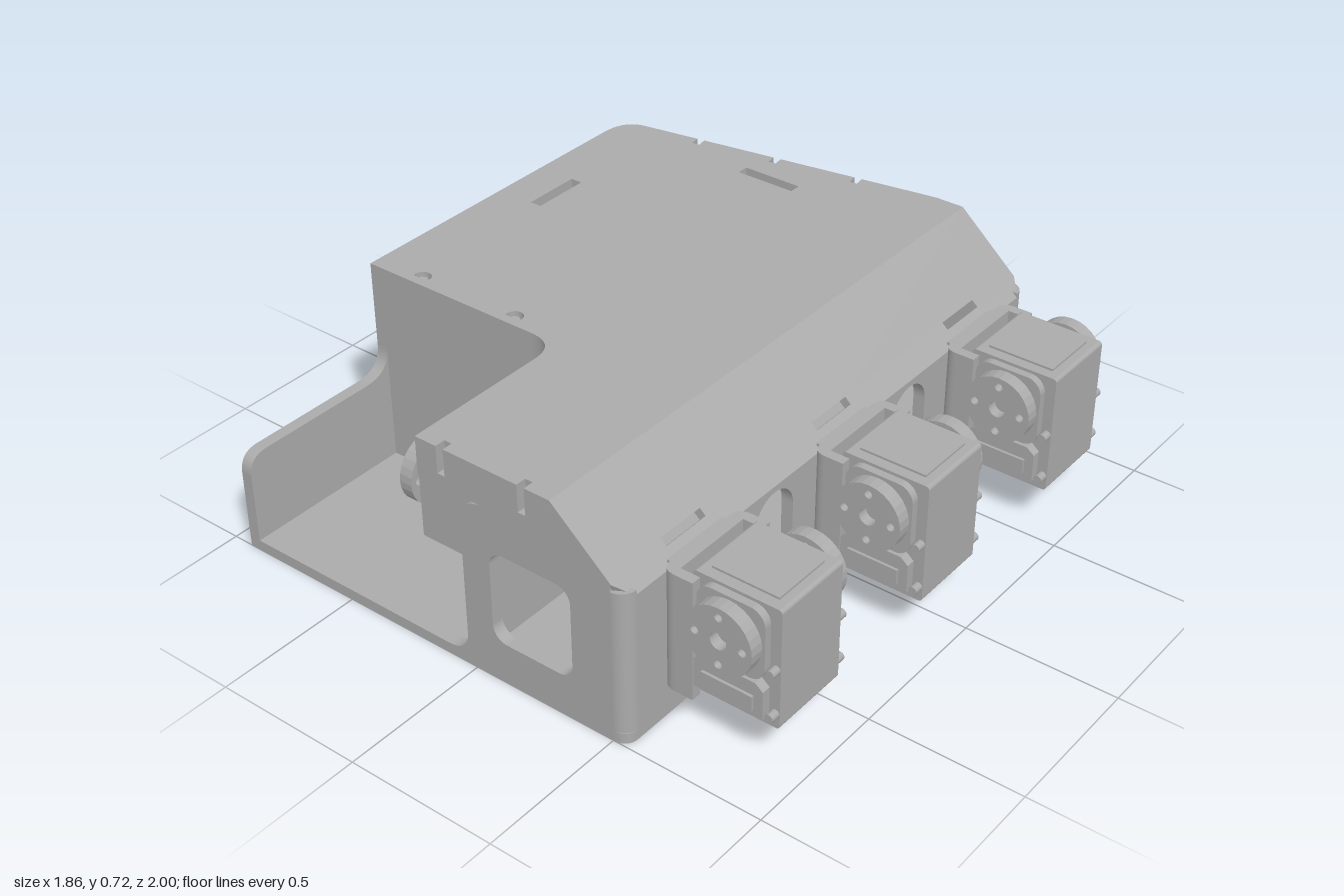
import * as THREE from 'three';

const grey = new THREE.MeshStandardMaterial({ color: 0xaaaaaa });
grey.name = 'plain grey';

const V = (x, y, z) => new THREE.Vector3(x, y, z);
const X = V(1, 0, 0), Y = V(0, 1, 0), Z = V(0, 0, 1);
const NX = V(-1, 0, 0), NZ = V(0, 0, -1);

const poly = pts => new THREE.Shape(pts.map(p => new THREE.Vector2(p[0], p[1])));

// rounded rectangle
function roundRect(x0, y0, x1, y1, r = 0) {
  if (!r) return poly([[x0, y0], [x1, y0], [x1, y1], [x0, y1]]);
  const s = new THREE.Shape();
  s.absarc(x1 - r, y0 + r, r, -Math.PI / 2, 0);
  s.absarc(x1 - r, y1 - r, r, 0, Math.PI / 2);
  s.absarc(x0 + r, y1 - r, r, Math.PI / 2, Math.PI);
  s.absarc(x0 + r, y0 + r, r, Math.PI, Math.PI * 1.5);
  return s;
}
const disc = (x, y, r) => new THREE.Shape().absarc(x, y, r, 0, Math.PI * 2);

function add(group, name, geometry, x = 0, y = 0, z = 0) {
  const m = new THREE.Mesh(geometry, grey);
  m.name = name;
  m.position.set(x, y, z);
  group.add(m);
  return m;
}

// flat panel: shape drawn on axes u, v and thickened along u x v
function panel(group, name, shape, depth, origin, u, v, holes = []) {
  shape.holes.push(...holes);
  const g = new THREE.ExtrudeGeometry(shape, { depth, bevelEnabled: false, curveSegments: 14 });
  const w = u.clone().cross(v);
  g.applyMatrix4(new THREE.Matrix4().makeBasis(u, v, w).setPosition(origin));
  return add(group, name, g);
}

// horizontal slab, drawn as (x, -z)
const slab = (group, name, shape, y0, y1, holes) =>
  panel(group, name, shape, y1 - y0, V(0, y0, 0), X, NZ, holes);

// outline points for a top edge with screw channels, running from high u to low u
const channels = (at, top = 0.72) => at.flatMap(c =>
  [[c + 0.013, top], [c + 0.013, top - 0.09], [c - 0.013, top - 0.09], [c - 0.013, top]]);

// output wheel facing +z with its back at z = 0
function horn(group, x, y, z, dir) {
  const holes = [disc(0, 0, 0.027)];
  for (let i = 0; i < 4; i++) {
    const a = i * Math.PI / 2;
    holes.push(disc(Math.cos(a) * 0.078, Math.sin(a) * 0.078, 0.013));
  }
  const h = new THREE.Group();
  h.name = 'outputWheel';
  panel(h, 'wheelDisc', disc(0, 0, 0.11), 0.045, V(0, 0, 0), X, Y, holes);
  const shaft = new THREE.CylinderGeometry(0.036, 0.036, 0.06, 20).rotateX(Math.PI / 2);
  add(h, 'shaft', shaft, 0, 0, -0.02);
  h.position.set(x, y, z);
  h.rotation.y = dir;
  group.add(h);
}

function servo(z) {
  const g = new THREE.Group();
  g.name = 'sideServo';
  panel(g, 'servoBody', roundRect(0.635, 0.145, 0.925, 0.545, 0.012), 0.27, V(0, 0, -0.135), X, Y);
  add(g, 'servoRidge', new THREE.BoxGeometry(0.22, 0.01, 0.2), 0.78, 0.547, 0);
  // stepped cap round the front wheel and connector block below it
  panel(g, 'frontCap', roundRect(0.665, 0.3, 0.89, 0.535, 0.05), 0.025, V(0, 0, 0.135), X, Y);
  panel(g, 'connectorBlock', poly([[0.66, 0.18], [0.89, 0.18], [0.89, 0.275], [0.865, 0.295], [0.685, 0.295], [0.66, 0.275]]),
    0.03, V(0, 0, 0.135), X, Y);
  add(g, 'connectorLip', new THREE.BoxGeometry(0.17, 0.05, 0.012), 0.775, 0.225, 0.168);
  horn(g, 0.775, 0.42, 0.165, 0);
  horn(g, 0.775, 0.42, -0.175, Math.PI);
  // screw bosses
  for (const x of [0.65, 0.91]) for (const y of [0.195, 0.345]) for (const s of [-1, 1])
    add(g, 'screwBoss', new THREE.CylinderGeometry(0.014, 0.014, 0.03, 12).rotateX(Math.PI / 2), x, y, s * 0.15);
  // U bracket, open towards the servo
  const u = new THREE.Shape();
  u.moveTo(0.66, 0.17);
  u.lineTo(0.6, 0.17);
  u.quadraticCurveTo(0.555, 0.17, 0.555, 0.13);
  u.lineTo(0.555, -0.13);
  u.quadraticCurveTo(0.555, -0.17, 0.6, -0.17);
  u.lineTo(0.66, -0.17);
  u.lineTo(0.66, -0.137);
  u.lineTo(0.595, -0.137);
  u.lineTo(0.595, 0.137);
  u.lineTo(0.66, 0.137);
  slab(g, 'servoBracket', u, 0.13, 0.53);
  add(g, 'bracketPad', new THREE.BoxGeometry(0.03, 0.38, 0.24), 0.55, 0.33, 0);
  g.position.z = z;
  return g;
}

export function createModel() {
  const model = new THREE.Group();
  const shell = new THREE.Group();
  shell.name = 'shell';
  model.add(shell);

  // floor
  const floor = new THREE.Shape();
  floor.moveTo(-0.93, -1);
  floor.lineTo(0.5, -1);
  floor.quadraticCurveTo(0.55, -1, 0.55, -0.95);
  floor.lineTo(0.55, 0.95);
  floor.quadraticCurveTo(0.55, 1, 0.5, 1);
  floor.lineTo(0.2, 1);
  floor.lineTo(-0.85, 0.82);
  floor.quadraticCurveTo(-0.93, 0.806, -0.93, 0.7);
  slab(shell, 'floor', floor, 0, 0.035);

  // lid with a rounded notch, slots and screw holes
  const lid = new THREE.Shape();
  lid.moveTo(-0.93, -0.41);
  lid.lineTo(-0.28, -0.41);
  lid.quadraticCurveTo(-0.18, -0.41, -0.18, -0.51);
  lid.lineTo(-0.18, -0.965);
  lid.lineTo(0.3, -0.965);
  lid.lineTo(0.3, 0.965);
  lid.lineTo(0.2, 0.965);
  lid.lineTo(-0.85, 0.785);
  lid.lineTo(-0.9, 0.75);
  lid.lineTo(-0.93, 0.7);
  slab(shell, 'lid', lid, 0.68, 0.72, [
    roundRect(-0.4, 0.75, -0.19, 0.79), roundRect(-0.8, 0.18, -0.76, 0.38),
    disc(-0.75, -0.37, 0.028), disc(-0.38, -0.37, 0.028)]);
  for (const x of [-0.75, -0.38])
    add(shell, 'lidNut', new THREE.CylinderGeometry(0.018, 0.018, 0.04, 6), x, 0.69, 0.37);

  // lid skirt around the notch
  const skirt = new THREE.Shape();
  skirt.moveTo(-0.93, -0.41);
  skirt.lineTo(-0.28, -0.41);
  skirt.quadraticCurveTo(-0.18, -0.41, -0.18, -0.51);
  skirt.lineTo(-0.18, -1);
  skirt.lineTo(-0.15, -1);
  skirt.lineTo(-0.15, -0.5);
  skirt.quadraticCurveTo(-0.15, -0.38, -0.28, -0.38);
  skirt.lineTo(-0.93, -0.38);
  slab(shell, 'lidSkirt', skirt, 0.59, 0.72);
  slab(shell, 'lidUnderside', roundRect(-0.16, -0.99, -0.03, -0.38), 0.59, 0.62);

  // front wall with the bay opening cut away
  const front = new THREE.Shape();
  front.moveTo(-0.93, 0);
  front.lineTo(0.5, 0);
  front.lineTo(0.5, 0.544);
  front.lineTo(0.3, 0.72);
  for (const p of channels([0.2, -0.09])) front.lineTo(p[0], p[1]);
  front.lineTo(-0.18, 0.72);
  front.lineTo(-0.18, 0.59);
  front.lineTo(0.05, 0.59);
  front.quadraticCurveTo(-0.03, 0.58, -0.03, 0.51);
  front.lineTo(-0.03, 0.115);
  front.quadraticCurveTo(-0.03, 0.035, -0.11, 0.035);
  front.lineTo(-0.93, 0.035);
  panel(shell, 'frontWall', front, 0.04, V(0, 0, 0.96), X, Y, [roundRect(0.07, 0.14, 0.36, 0.45, 0.05)]);

  // bay walls
  panel(shell, 'bayBackWall', roundRect(-0.93, 0, -0.03, 0.6), 0.03, V(0, 0, 0.38), X, Y);
  add(shell, 'baySideWall', new THREE.BoxGeometry(0.03, 0.6, 0.6), -0.015, 0.3, 0.68);

  // servo wall with long slots
  panel(shell, 'rightWall', roundRect(-0.95, 0, 0.95, 0.5), 0.04, V(0.51, 0, 0), NZ, Y,
    [-0.34, 0.34].map(u => roundRect(u - 0.09, 0.05, u + 0.09, 0.48, 0.0899)));

  // sloping shoulder, clipped at its lower corners
  const slope = V(-0.25, 0.22, 0).normalize();
  const out = NZ.clone().cross(slope);
  panel(shell, 'shoulder', poly([[-0.955, 0], [0.955, 0], [1, 0.06], [1, 0.333], [-1, 0.333], [-1, 0.06]]), 0.03,
    V(0.55, 0.5, 0).addScaledVector(out, -0.03), NZ, slope,
    [-0.69, 0, 0.69].map(u => roundRect(u - 0.085, 0.053, u + 0.085, 0.08)));

  // rounded corners beside the servo wall
  for (const s of [-1, 1]) {
    const c = new THREE.Shape();
    c.moveTo(0.5, s * 0.95);
    c.lineTo(0.55, s * 0.95);
    c.absarc(0.5, s * 0.95, 0.05, 0, s * Math.PI / 2, s < 0);
    slab(shell, 'roundedCorner', c, 0, 0.515);
  }

  // back wall: short straight piece and long slanted piece with a window
  panel(shell, 'backWall', poly([[-0.5, 0], [-0.2, 0], [-0.2, 0.72], [-0.3, 0.72], [-0.5, 0.544]]), 0.04,
    V(0, 0, -0.96), NX, Y);
  const along = V(-1.05, 0, 0.18).normalize();
  const outward = along.clone().cross(Y);
  panel(shell, 'slantedBackWall', poly([[0, 0], [1.065, 0], [1.065, 0.72], ...channels([0.852, 0.568, 0.274]), [0, 0.72]]), 0.04,
    V(0.2, 0, -1).addScaledVector(outward, -0.04), along, Y, [roundRect(0.2, 0.13, 0.92, 0.535, 0.05)]);
  const bend = new THREE.Shape();
  bend.moveTo(-0.85, 0.82);
  bend.quadraticCurveTo(-0.93, 0.806, -0.93, 0.7);
  bend.lineTo(-0.89, 0.7);
  bend.quadraticCurveTo(-0.89, 0.77, -0.843, 0.78);
  slab(shell, 'bentCorner', bend, 0, 0.72);

  // left wall with five holes and a low guard beside the bay
  const left = new THREE.Shape();
  left.moveTo(-0.7, 0);
  left.lineTo(1, 0);
  left.lineTo(1, 0.27);
  left.quadraticCurveTo(1, 0.34, 0.93, 0.34);
  left.lineTo(0.51, 0.34);
  left.quadraticCurveTo(0.41, 0.34, 0.41, 0.43);
  left.lineTo(0.41, 0.72);
  left.lineTo(-0.7, 0.72);
  panel(shell, 'leftWall', left, 0.04, V(-0.89, 0, 0), Z, Y,
    [[-0.06, 0.12], [-0.06, 0.31], [-0.06, 0.49], [-0.34, 0.31], [0.22, 0.31]].map(p => disc(p[0], p[1], 0.048)));

  // motor inside the bay
  const bay = new THREE.Group();
  bay.name = 'bayMotor';
  add(bay, 'bayMotorBody', new THREE.BoxGeometry(0.25, 0.3, 0.4), -0.155, 0.43, 0.7);
  horn(bay, -0.325, 0.425, 0.78, -Math.PI / 2);
  model.add(bay);

  for (const z of [-0.685, 0, 0.685]) model.add(servo(z));
  return model;
}
